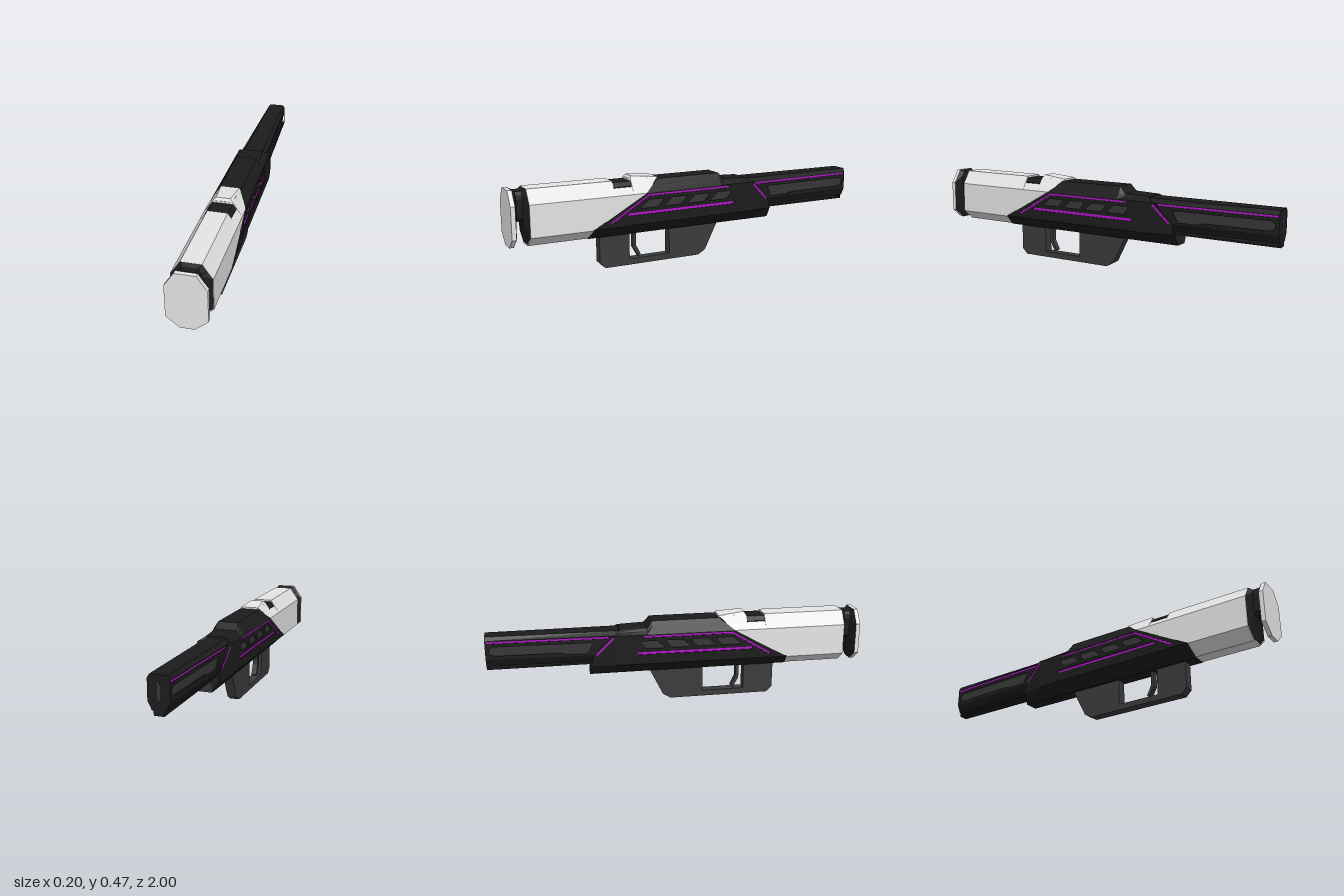
import * as THREE from 'three';

const material = (name, color) => Object.assign(new THREE.MeshStandardMaterial({ color }), { name });

// Symmetric loft: each station lists [x, y, z] for the right half, top to bottom; stations run from +z to -z
function loft(stations) {
  const rings = stations.map(h => [...h, ...h.slice().reverse().map(([x, y, z]) => [-x, y, z])]);
  const n = rings[0].length, pos = [];
  const tri = (a, b, c) => pos.push(...a, ...b, ...c);
  for (let i = 0; i < rings.length - 1; i++) {
    for (let j = 0; j < n; j++) {
      const k = (j + 1) % n;
      tri(rings[i][j], rings[i][k], rings[i + 1][j]);
      tri(rings[i][k], rings[i + 1][k], rings[i + 1][j]);
    }
  }
  const cap = (ring, front) => {
    const mid = [0, 1, 2].map(a => ring.reduce((s, p) => s + p[a], 0) / n);
    ring.forEach((p, j) => {
      const q = ring[(j + 1) % n];
      if (front) tri(mid, q, p); else tri(mid, p, q);
    });
  };
  cap(rings[0], true);
  cap(rings[rings.length - 1], false);
  const g = new THREE.BufferGeometry();
  g.setAttribute('position', new THREE.Float32BufferAttribute(pos, 3));
  g.computeVertexNormals();
  return g;
}

// Extrudes a [z, y] outline, with optional holes, along x and centred on x = 0
function slab(points, width, holes = []) {
  const flat = pts => pts.map(([z, y]) => new THREE.Vector2(-z, y));
  const shape = new THREE.Shape(flat(points));
  shape.holes = holes.map(h => new THREE.Path(flat(h)));
  return new THREE.ExtrudeGeometry(shape, { depth: width, bevelEnabled: false })
    .translate(0, 0, -width / 2).rotateY(Math.PI / 2);
}

// Outline of a straight stripe between two [z, y] points
function stripe([z0, y0], [z1, y1], w) {
  const l = Math.hypot(z1 - z0, y1 - y0), a = -(y1 - y0) / l * w / 2, b = (z1 - z0) / l * w / 2;
  return [[z0 + a, y0 + b], [z1 + a, y1 + b], [z1 - a, y1 - b], [z0 - a, y0 - b]];
}

export function createModel() {
  const light = material('lightShell', 0xe5e5e5);
  const black = material('blackShell', 0x1c1c1c);
  const grey = material('gripGrey', 0x3b3b3b);
  const panel = material('ventGrey', 0x363636);
  const purple = material('purpleGlow', 0xb812d0);

  const model = new THREE.Group();
  const add = (name, geometry, mat) => {
    const m = new THREE.Mesh(geometry, mat);
    m.name = name;
    model.add(m);
  };

  const SKIN = 0.012, LINE = 0.002, VENT = 0.008;
  const receiverSide = z => 0.0925 + 0.0105 * z;
  const collarSide = z => receiverSide(-0.34) + (z + 0.34) * 0.14;
  const barrelSide = z => 0.053 + (z + 1) * 0.029;

  // Slabs on both flanks following the taper; the slab lies between two depths below the surface
  const flankSlabs = (name, points, side, from, to, mat, holes) => {
    for (const s of [1, -1]) {
      const g = slab(points, to - from, holes), p = g.attributes.position;
      for (let i = 0; i < p.count; i++) p.setX(i, p.getX(i) + s * (side(p.getZ(i)) - (from + to) / 2));
      g.computeVertexNormals();
      add(name + (s > 0 ? 'Left' : 'Right'), g, mat);
    }
  };

  // Flank skin with sunken coloured inlays: [name, outline, depth, material]
  const flank = (name, outline, side, inlays) => {
    flankSlabs(name, outline, side, 0, SKIN, black, inlays.map(i => i[1]));
    for (const [label, points, depth, mat] of inlays) flankSlabs(label, points, side, depth, SKIN, mat);
  };

  // Stock: octagonal shell with a slot on top and a diagonal front edge
  const octagon = [[0.05, 0.458], [0.075, 0.42], [0.098, 0.388], [0.098, 0.225], [0.035, 0.173]];
  const notch = [[0.06, 0.426], [0.073, 0.42], ...octagon.slice(2)];
  const seam = [0.22, 0.26, 0.30, 0.59, 0.6];
  const at = (half, z) => half.map(([x, y], j) => [x, y, Math.max(z, seam[j])]);
  const flat = (half, z) => half.map(([x, y]) => [x, y, z]);
  add('stock', loft([at(octagon, 0.91), at(octagon, 0.47), at(notch, 0.47),
    at(notch, 0.37), at(octagon, 0.37), at(octagon, -1)]), light);
  const slot = [[0.05, 0.449], [0.068, 0.427], [0.066, 0.42]];
  add('topSlot', loft([flat(slot, 0.469), flat(slot, 0.371)]), black);
  add('rearSight', loft([
    [[0.035, 0.473, 0.36], [0.05, 0.458, 0.37], [0.05, 0.45, 0.37]],
    [[0.048, 0.4595, 0.22], [0.05, 0.4575, 0.22], [0.05, 0.45, 0.22]],
  ]), light);

  // Butt plate joined by a waisted neck
  const waist = [[0.035, 0.447], [0.044, 0.43], [0.048, 0.41], [0.048, 0.32], [0.035, 0.3]];
  add('buttPlate', loft([flat(octagon, 1), flat(octagon, 0.978)]), light);
  add('neck', loft([flat(octagon, 0.978), flat(waist, 0.96),
    flat(waist, 0.929), flat(octagon, 0.909)]), black);

  // Receiver core: meets the stock on the diagonal, sides sunk to hold the skin
  const body = (top, topX, mid, z) => {
    const x = receiverSide;
    return [[topX, top, z[0]], [...mid, z[1]], [x(z[2]), 0.388, z[2]], [x(z[2]) - SKIN, 0.388, z[2]],
      [x(z[3]) - SKIN, 0.228, z[3]], [x(z[3]), 0.228, z[3]], [0.036, 0.17, z[4]]];
  };
  add('receiver', loft([
    body(0.45, 0.054, [0.075, 0.42], seam),
    body(0.45, 0.054, [0.073, 0.42], Array(5).fill(-0.14)),
    body(0.415, 0.06, [0.073, 0.402], Array(5).fill(-0.17)),
    body(0.411, 0.055, [0.07, 0.4], [-0.31, -0.325, -0.34, -0.34, -0.34]),
  ]), black);

  // Raked collar tapering in towards the barrel, with its purple line
  const collarAt = zs => [[0.05, 0.4, zs[0]], [collarSide(zs[1]), 0.388, zs[1]],
    [collarSide(zs[2]), 0.29, zs[2]], [collarSide(zs[3]), 0.228, zs[3]], [0.036, 0.17, zs[4]]];
  add('collar', loft([collarAt([-0.3, -0.34, -0.34, -0.34, -0.34]),
    collarAt([-0.31, -0.35, -0.45, -0.465, -0.47])]), black);
  flankSlabs('collarLine', stripe([-0.345, 0.377], [-0.436, 0.286], 0.009), collarSide, -0.001, 0.004, purple);

  // Receiver flank: purple lines and a row of slanted vents
  const vents = [0, 1, 2, 3].map(i => {
    const z = 0.335 - i * 0.136;
    return ['vent' + (i + 1), [[z, 0.312], [z - 0.045, 0.352], [z - 0.127, 0.352],
      [z - 0.127, 0.338], [z - 0.1, 0.312]], VENT, panel];
  });
  flank('receiverFlank', [[0.59, 0.228], [0.30, 0.388], [-0.34, 0.388], [-0.34, 0.228]], receiverSide, [
    ['upperLine', [[0.498, 0.254], [0.286, 0.381], [-0.19, 0.381], [-0.19, 0.372],
      [0.284, 0.372], [0.493, 0.246]], LINE, purple],
    ['lowerLine', stripe([0.4, 0.286], [-0.22, 0.286], 0.014), 0.005, purple],
    ...vents,
  ]);

  // Barrel core and flank
  const barrelAt = (z, t) => {
    const x = barrelSide(z);
    return [[0.042 + 0.008 * t, 0.405, z], [x, 0.386, z], [x - SKIN, 0.386, z],
      [x - SKIN, 0.285, z], [x, 0.285, z], [0.032 + 0.014 * t, 0.243, z]];
  };
  add('barrel', loft([barrelAt(-0.28, 1), barrelAt(-1, 0)]), black);
  flank('barrelFlank', [[-0.28, 0.386], [-1, 0.386], [-1, 0.285], [-0.28, 0.285]], barrelSide, [
    ['barrelLine', stripe([-0.37, 0.376], [-0.994, 0.376], 0.009), LINE, purple],
    ['barrelPanel', [[-0.45, 0.352], [-0.965, 0.352], [-0.98, 0.338], [-0.98, 0.318],
      [-0.96, 0.305], [-0.62, 0.305], [-0.58, 0.295], [-0.48, 0.295]], VENT, panel],
  ]);

  // Lower rail and muzzle
  add('lowerRail', new THREE.BoxGeometry(0.05, 0.009, 0.56).translate(0, 0.226, -0.72), black);
  add('railPost', new THREE.BoxGeometry(0.05, 0.03, 0.008).translate(0, 0.236, -0.996), black);
  add('muzzleSlot', new THREE.BoxGeometry(0.014, 0.08, 0.004).translate(0, 0.33, -0.999), panel);

  // Grip frame around the trigger opening
  add('gripFrame', slab([[0.535, 0.2], [0.535, 0.03], [0.505, 0], [-0.035, 0], [-0.078, 0.025],
    [-0.155, 0.18], [-0.155, 0.2], [0.14, 0.2], [0.14, 0.031], [0.37, 0.031], [0.37, 0.2]], 0.051), grey);
  add('trigger', slab([[0.345, 0.19], [0.345, 0.09], [0.315, 0.037], [0.302, 0.045],
    [0.328, 0.097], [0.328, 0.19]], 0.03), grey);

  return model;
}
